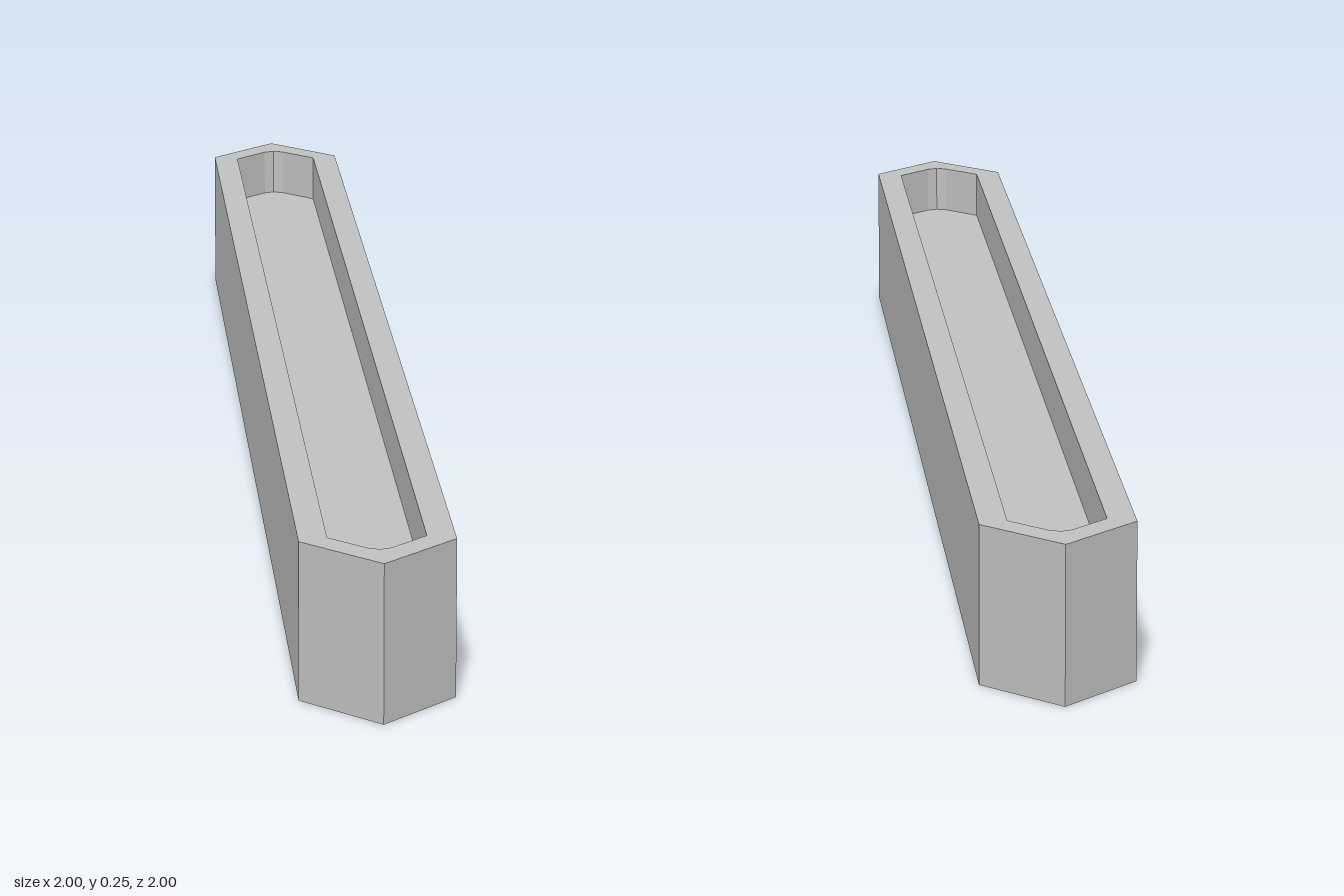
import * as THREE from 'three';

const HEIGHT = 0.25;
const RECESS = 0.083; // depth of the hollow above and below the web

// Long diagonal hexagon: e = end position, h = half width along x, c = tip corner chamfer
function outline(e, h, c = 0) {
  const half = c > 0
    ? [[e, e - h], [e, e - c], [e - c * 0.3, e - c * 0.3], [e - c, e], [e - h, e]]
    : [[e, e - h], [e, e], [e - h, e]];
  const points = [...half, ...half.map(([x, z]) => [-x, -z])];
  return points.map(([x, z]) => new THREE.Vector2(x, z));
}

// Upright prism between two heights, with the shape lying in the xz plane
function prism(name, shape, bottom, top, material) {
  const geometry = new THREE.ExtrudeGeometry(shape, { depth: top - bottom, bevelEnabled: false });
  geometry.rotateX(Math.PI / 2);
  geometry.translate(0, top, 0);
  const mesh = new THREE.Mesh(geometry, material);
  mesh.name = name;
  return mesh;
}

export function createModel() {
  const group = new THREE.Group();
  group.name = 'diagonalBeam';
  const grey = new THREE.MeshStandardMaterial({ color: 0xc0c0c0 });
  grey.name = 'light grey';

  const inner = outline(0.956, 0.106, 0.025);

  // Outer wall, open at top and bottom
  const wall = new THREE.Shape(outline(1, 0.168));
  wall.holes.push(new THREE.Path(inner));
  group.add(prism('rimWall', wall, 0, HEIGHT, grey));

  // Web closing the middle, recessed from both sides
  group.add(prism('centreWeb', new THREE.Shape(inner), RECESS, HEIGHT - RECESS, grey));

  return group;
}
